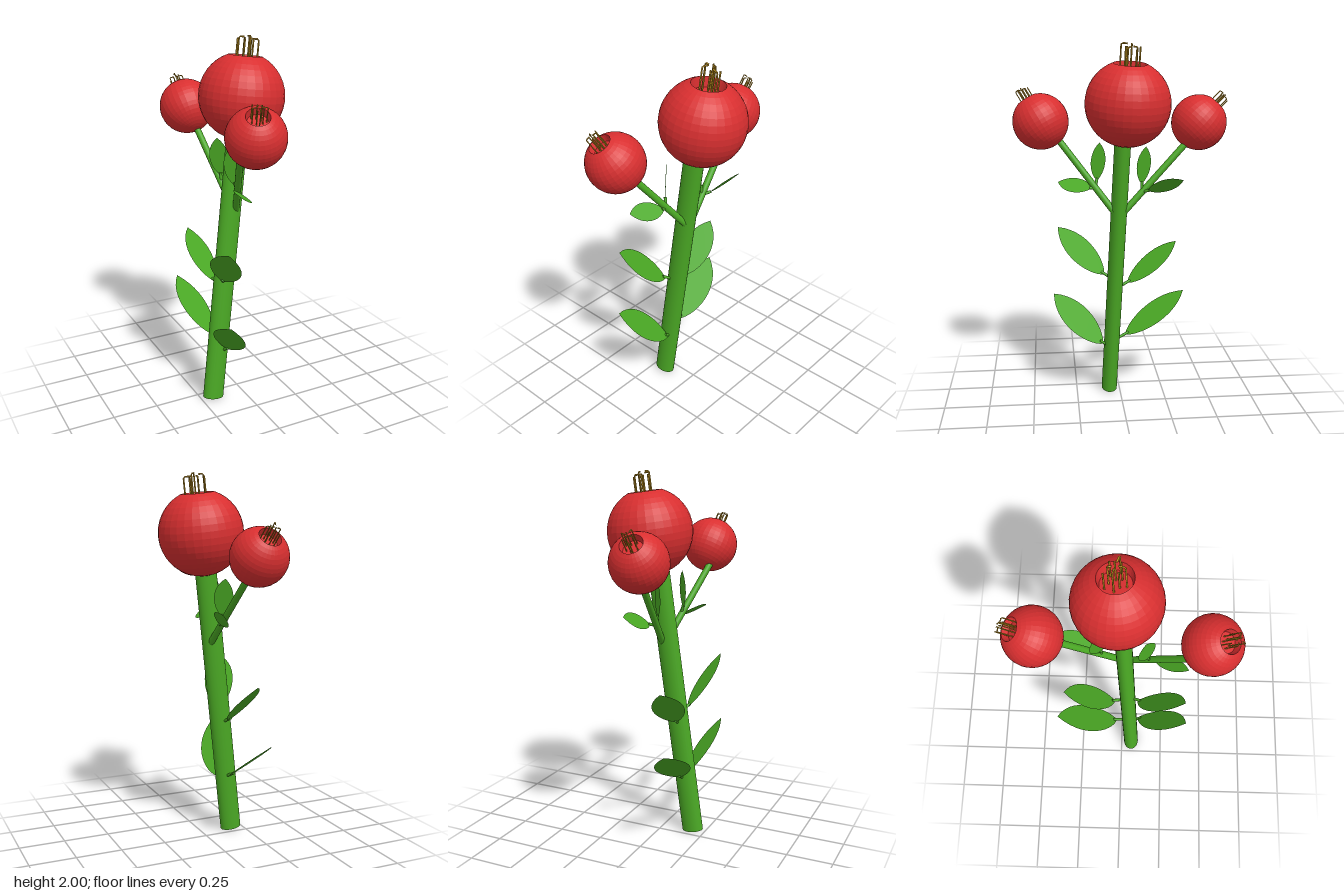
import * as THREE from 'three';

const V = (x, y, z) => new THREE.Vector3(x, y, z);
const UP = V(0, 1, 0);
const mat = (color, extra = {}) => new THREE.MeshStandardMaterial({ color, ...extra });

export function createModel() {
  const root = new THREE.Group();
  const green = mat(0x4aa824);
  const leafGreen = mat(0x4aa824, { side: THREE.DoubleSide });
  const red = mat(0xd92f30, { flatShading: true, side: THREE.DoubleSide });
  const gold = mat(0xc99a22);

  const add = (parent, name, geometry, material) => {
    const mesh = new THREE.Mesh(geometry, material);
    mesh.name = name;
    parent.add(mesh);
    return mesh;
  };

  // Straight round rod between two points, optionally flattened along z
  const rod = (name, a, b, r, flat = 1) => {
    const dir = b.clone().sub(a);
    const mesh = add(root, name, new THREE.CylinderGeometry(r, r, dir.length(), 24), green);
    mesh.scale.z = flat;
    mesh.quaternion.setFromUnitVectors(UP, dir.normalize());
    mesh.position.copy(a).add(b).multiplyScalar(0.5);
  };

  // Main stem and two side branches
  const stemBase = V(-0.18, 0.01, 0.06), stemTop = V(0.01, 1.53, -0.005);
  rod('stem', stemBase, stemTop, 0.06, 0.74);
  rod('frontBranch', V(-0.02, 1.09, 0.03), V(-0.155, 1.5, 0.345), 0.018);
  rod('backBranch', V(-0.02, 1.09, 0.0), V(-0.07, 1.48, -0.365), 0.018);

  // Berry of unit radius: sphere cut open at the crown, with a sunken cup
  const profile = [];
  const rim = Math.asin(0.39);
  for (let i = 0; i <= 18; i++) {
    const t = Math.PI - (i / 18) * (Math.PI - rim);
    profile.push(new THREE.Vector2(Math.max(0, Math.sin(t)), Math.cos(t)));
  }
  profile.push(new THREE.Vector2(0.34, 0.68), new THREE.Vector2(0, 0.68));
  const berryGeo = new THREE.LatheGeometry(profile, 32);

  // Thin stamens in the crown; every other one has a hooked tip
  const stamens = [];
  for (let i = 0; i < 9; i++) {
    const a = i * 2.4, r = 0.1 + 0.022 * i, h = 1.36 - 0.03 * (i % 3);
    const x = Math.cos(a) * r, z = Math.sin(a) * r;
    const pts = [V(x, 0.66, z), V(x, h - 0.04, z)];
    if (i % 2 === 0) pts.push(V(x * 0.92, h, z * 0.92), V(x * 0.35, h, z * 0.35));
    const path = new THREE.CatmullRomCurve3(pts, false, 'catmullrom', 0.1);
    stamens.push(new THREE.TubeGeometry(path, 16, 0.02, 6));
  }

  const berry = (name, center, radius, axis) => {
    const g = new THREE.Group();
    g.name = name;
    add(g, 'berrySkin', berryGeo, red);
    stamens.forEach((s) => add(g, 'stamen', s, gold));
    g.scale.setScalar(radius);
    g.quaternion.setFromUnitVectors(UP, axis.normalize());
    g.position.copy(center);
    root.add(g);
  };
  berry('mainBerry', V(0.043, 1.69, -0.027), 0.226, stemTop.clone().sub(stemBase));
  berry('frontBerry', V(-0.117, 1.587, 0.427), 0.15, V(-0.2, 0.84, 0.5));
  berry('backBerry', V(-0.093, 1.577, -0.427), 0.15, V(-0.05, 0.71, -0.7));

  // Leaf outline: unit length along y, half width 1 along x
  const outline = new THREE.Shape();
  outline.moveTo(0, 0);
  outline.bezierCurveTo(0.8, 0.12, 1.6, 0.65, 0, 1);
  outline.bezierCurveTo(-1.6, 0.65, -0.8, 0.12, 0, 0);
  const leafGeo = new THREE.ShapeGeometry(outline, 14);

  // Leaf from base to tip, its face turned towards a normal, on a short stalk
  const leaf = (name, base, tip, normal, half, stalkFrom) => {
    const d = tip.clone().sub(base), len = d.length();
    d.normalize();
    const w = d.clone().cross(normal).normalize();
    const n = w.clone().cross(d);
    const mesh = add(root, name, leafGeo, leafGreen);
    mesh.quaternion.setFromRotationMatrix(new THREE.Matrix4().makeBasis(w, d, n));
    mesh.scale.set(half, len, 1);
    mesh.position.copy(base);
    rod(name + 'Stalk', stalkFrom, base.clone().addScaledVector(d, len * 0.06), 0.008);
  };

  // Large leaves on the stem
  const frontN = V(0.65, 0.6, -0.47), backN = V(0.35, 0.78, 0.52);
  leaf('lowerFrontLeaf', V(-0.11, 0.31, 0.1), V(-0.22, 0.585, 0.375), frontN, 0.1, V(-0.13, 0.28, 0.05));
  leaf('upperFrontLeaf', V(-0.13, 0.72, 0.09), V(-0.22, 0.98, 0.345), frontN, 0.095, V(-0.1, 0.69, 0.03));
  leaf('lowerBackLeaf', V(-0.14, 0.35, -0.03), V(-0.2, 0.59, -0.375), backN, 0.1, V(-0.13, 0.32, 0.04));
  leaf('upperBackLeaf', V(-0.12, 0.67, -0.04), V(-0.15, 0.9, -0.32), backN, 0.09, V(-0.1, 0.64, 0.03));

  // Small leaves on the branches
  const uprightN = V(0.75, 0.05, -0.65);
  leaf('frontUprightLeaf', V(-0.08, 1.27, 0.13), V(-0.08, 1.475, 0.115), uprightN, 0.06, V(-0.065, 1.23, 0.14));
  leaf('backUprightLeaf', V(-0.04, 1.255, -0.11), V(-0.05, 1.455, -0.135), uprightN, 0.06, V(-0.035, 1.21, -0.11));
  leaf('frontSideLeaf', V(-0.06, 1.23, 0.16), V(-0.13, 1.255, 0.34), V(0.52, 0.81, 0.1), 0.06, V(-0.06, 1.23, 0.13));
  leaf('backSideLeaf', V(-0.01, 1.22, -0.14), V(0.05, 1.285, -0.325), V(0.7, -0.6, 0), 0.055, V(-0.035, 1.21, -0.11));

  return root;
}
